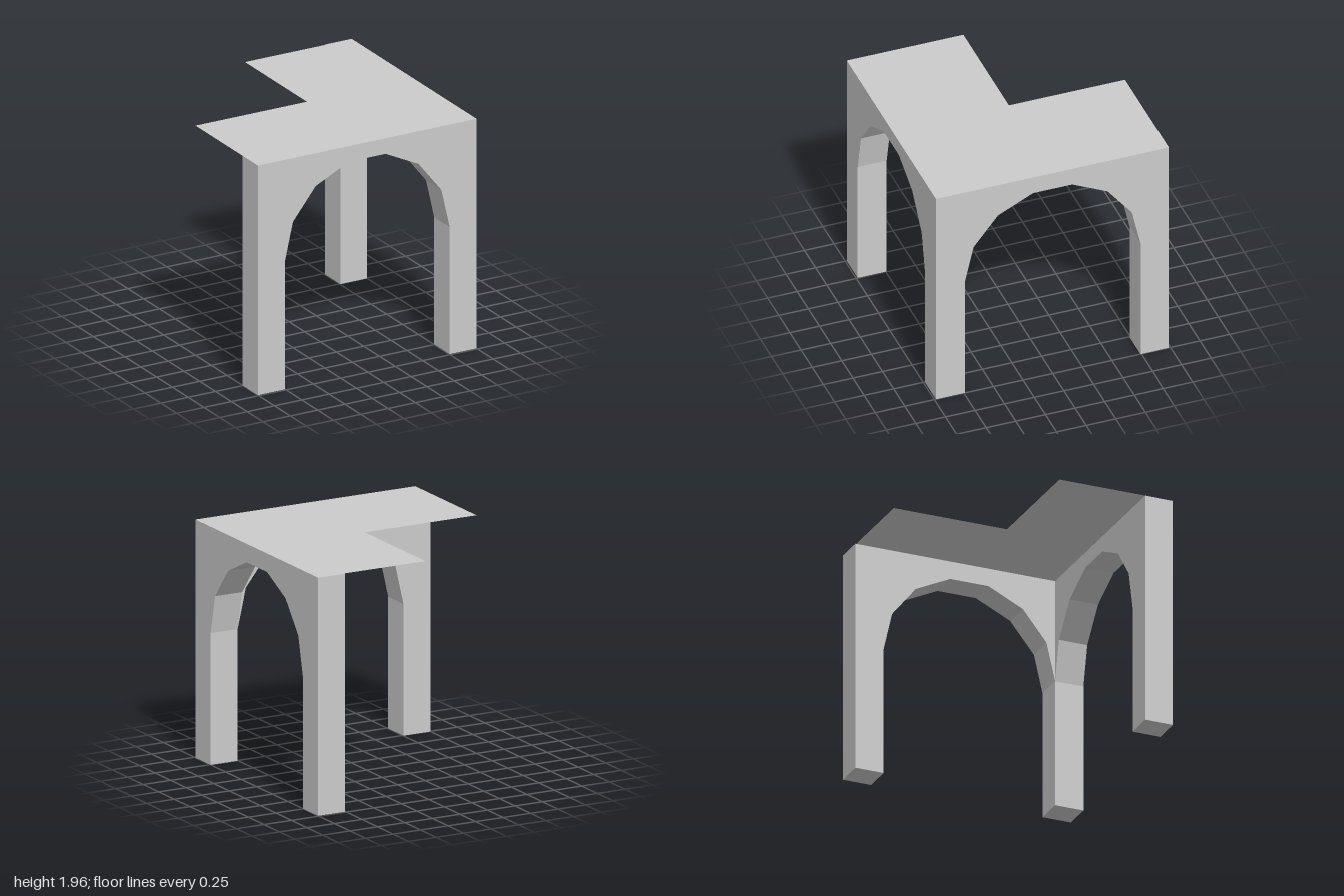
import * as THREE from 'three';

const TOP = 1.957, SPRING = 1.083, SEGMENTS = 7;
const HALF_X = 1, HALF_Z = 0.987;       // outer half sizes
const OPEN_X = 0.754, OPEN_Z = 0.742;   // half widths of the arch openings

// Wall outline with a faceted elliptical arch; the right leg ends at x = end
function archShape(half, end, open, rise) {
  const s = new THREE.Shape();
  s.moveTo(-half, 0);
  s.lineTo(-open, 0);
  for (let i = 0; i <= SEGMENTS; i++) {
    const a = Math.PI * (1 - i / SEGMENTS);
    s.lineTo(open * Math.cos(a), SPRING + rise * Math.sin(a));
  }
  if (end > open) {
    s.lineTo(open, 0);
    s.lineTo(end, 0);
  }
  s.lineTo(end, TOP);
  s.lineTo(-half, TOP);
  s.closePath();
  return s;
}

export function createModel() {
  const group = new THREE.Group();
  const stone = new THREE.MeshStandardMaterial({ color: 0xcccccc });
  const sheet = new THREE.MeshStandardMaterial({ color: 0xcccccc, side: THREE.DoubleSide });

  const add = (name, geometry, material) => {
    const mesh = new THREE.Mesh(geometry, material);
    mesh.name = name;
    group.add(mesh);
  };

  // Front arch wall, which includes the shared corner leg
  const front = new THREE.ExtrudeGeometry(archShape(HALF_X, HALF_X, OPEN_X, 0.76),
    { depth: HALF_Z - OPEN_Z, bevelEnabled: false });
  front.translate(0, 0, OPEN_Z);
  add('frontArchWall', front, stone);

  // Side arch wall, butting against the back of the front wall
  const side = new THREE.ExtrudeGeometry(archShape(HALF_Z, OPEN_Z, OPEN_Z, 0.74),
    { depth: HALF_X - OPEN_X, bevelEnabled: false });
  side.rotateY(-Math.PI / 2).translate(HALF_X, 0, 0);
  add('leftArchWall', side, stone);

  // Thin L-shaped roof sheet inside the walls, drawn in (x, -z)
  const roof = new THREE.Shape([
    [-HALF_X, -OPEN_Z], [OPEN_X, -OPEN_Z], [OPEN_X, 0.98],
    [0.02, 0.98], [0.02, 0], [-HALF_X, 0],
  ].map(([x, y]) => new THREE.Vector2(x, y)));
  add('roofSheet', new THREE.ShapeGeometry(roof).rotateX(-Math.PI / 2).translate(0, TOP, 0), sheet);

  return group;
}
